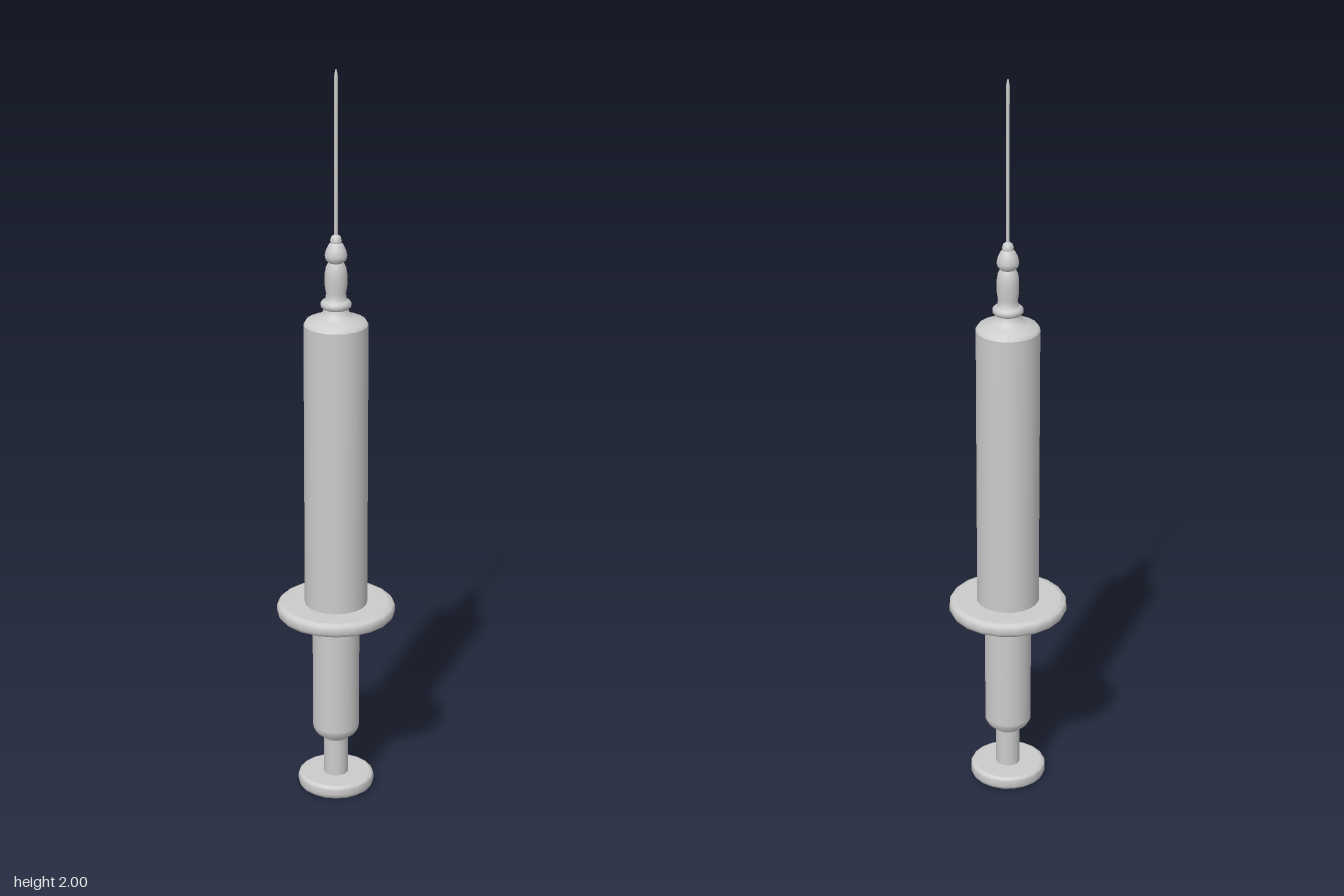
import * as THREE from 'three';

const SIDES = 20;

// Turned part from [radius, height] pairs, bottom to top; a third entry of 1 marks a sharp edge
function turned(name, profile, sides = SIDES) {
  const points = [];
  for (const [r, y, sharp] of profile) {
    points.push(new THREE.Vector2(r, y));
    if (sharp) points.push(new THREE.Vector2(r, y));
  }
  const material = new THREE.MeshStandardMaterial({ color: 0xcccccc });
  const mesh = new THREE.Mesh(new THREE.LatheGeometry(points, sides), material);
  mesh.name = name;
  return mesh;
}

export function createModel() {
  const group = new THREE.Group();
  group.name = 'syringe';

  // Thumb rest with a softly rounded rim
  group.add(turned('thumbRest', [
    [0, 0], [0.092, 0, 1], [0.1, 0.006], [0.103, 0.014],
    [0.103, 0.03], [0.1, 0.036], [0.092, 0.039, 1], [0, 0.039],
  ]));

  // Plunger: thin neck widening into the rod
  group.add(turned('plunger', [
    [0.033, 0.035], [0.033, 0.145, 1], [0.038, 0.158], [0.055, 0.164, 1],
    [0.062, 0.176], [0.063, 0.185], [0.063, 0.52],
  ]));

  // Finger flange
  group.add(turned('fingerFlange', [
    [0, 0.511], [0.142, 0.511, 1], [0.154, 0.517], [0.159, 0.526],
    [0.159, 0.54], [0.154, 0.547], [0.142, 0.551, 1], [0, 0.551],
  ]));

  // Barrel with its sloping shoulder
  group.add(turned('barrel', [
    [0.084, 0.545], [0.084, 1.335, 1], [0.078, 1.345], [0.055, 1.354],
    [0.038, 1.363], [0.031, 1.378], [0.03, 1.39],
  ]));

  // Needle hub: collar, waisted body, bulb and tip
  group.add(turned('needleHub', [
    [0, 1.379], [0.034, 1.379, 1], [0.04, 1.385], [0.04, 1.394], [0.034, 1.4, 1],
    [0.027, 1.404], [0.026, 1.42], [0.029, 1.44], [0.029, 1.472],
    [0.026, 1.49], [0.02, 1.502, 1], [0.027, 1.51], [0.029, 1.52],
    [0.026, 1.535], [0.019, 1.549], [0.014, 1.554, 1],
    [0.015, 1.56], [0.012, 1.57], [0.005, 1.575, 1], [0, 1.575],
  ]));

  // Needle
  group.add(turned('needle', [
    [0.0045, 1.56], [0.0045, 1.985, 1], [0.002, 2, 1], [0, 2],
  ], 10));

  return group;
}
